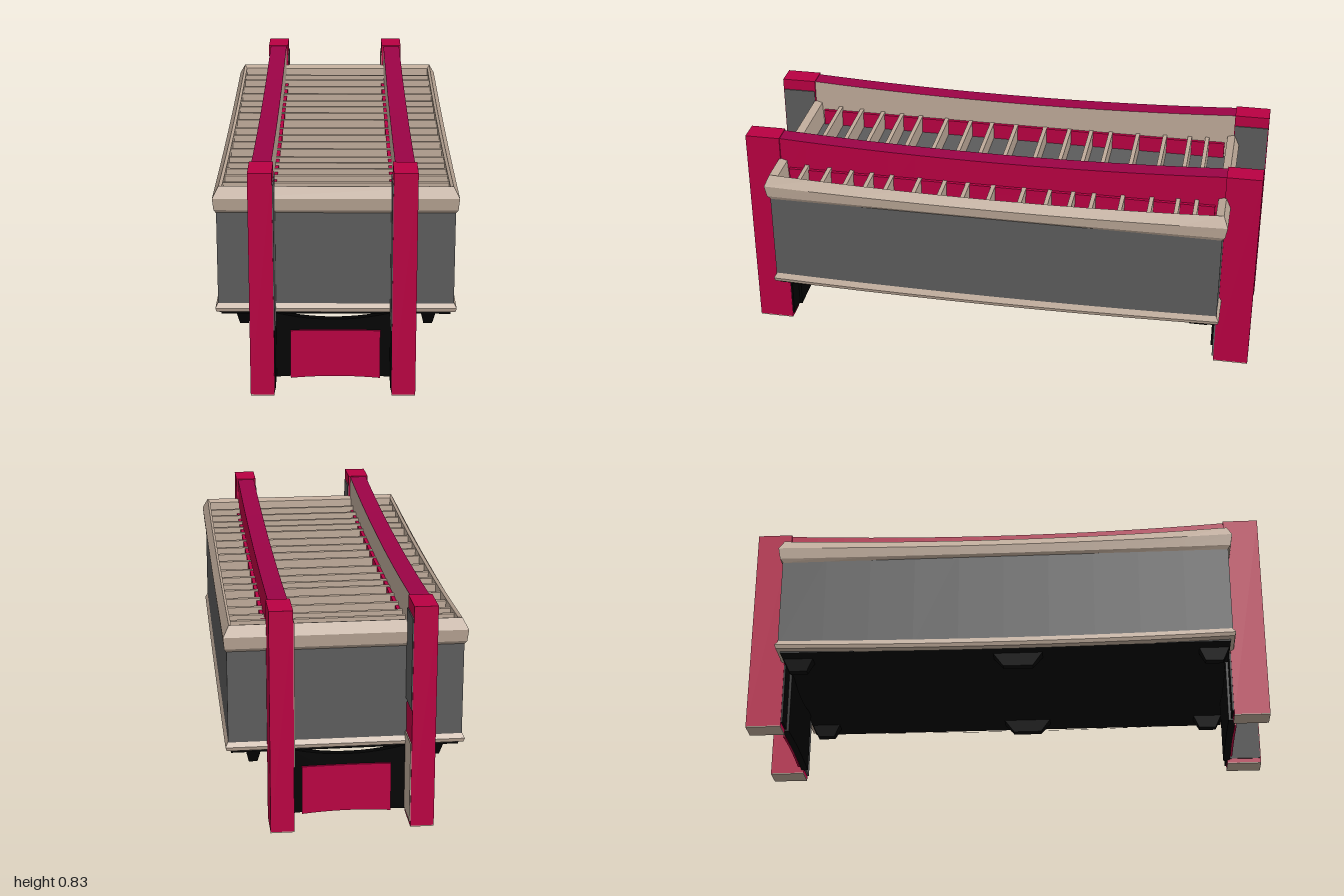
import * as THREE from 'three';

const mat = (name, color) => {
  const m = new THREE.MeshStandardMaterial({ color });
  m.name = name;
  return m;
};

export function createModel() {
  const crimson = mat('crimson', 0xb90042);
  const deepCrimson = mat('deepCrimson', 0x9c0346);
  const grey = mat('panelGrey', 0x5c5c5c);
  const taupe = mat('taupe', 0xbfab9a);
  const black = mat('black', 0x020202);
  const group = new THREE.Group();
  const HALF = 0.87;
  const sag = (z, depth) => -depth * Math.max(0, 1 - (z / HALF) ** 2);

  const add = (name, geo, material) => {
    const mesh = new THREE.Mesh(geo, material);
    mesh.name = name;
    group.add(mesh);
    return mesh;
  };
  // Box given by its extents on each axis
  const box = (name, m, x0, x1, y0, y1, z0, z1) => {
    const mesh = add(name, new THREE.BoxGeometry(x1 - x0, y1 - y0, z1 - z0), m);
    mesh.position.set((x0 + x1) / 2, (y0 + y1) / 2, (z0 + z1) / 2);
  };

  // Rectangular band swept through rings of [halfWidth, halfDepth, y, sagDepth]
  const band = (name, m, rings) => {
    const N = 10, pos = [];
    const loop = (hw, hd, y, s) => {
      const pts = [];
      for (const side of [1, -1]) {
        for (let i = 0; i <= N; i++) {
          const z = side * hd * (1 - (2 * i) / N);
          pts.push([side * hw, y + sag(z, s), z]);
        }
      }
      return pts;
    };
    for (let r = 0; r < rings.length - 1; r++) {
      const a = loop(...rings[r]), b = loop(...rings[r + 1]);
      a.forEach((p, i) => {
        const j = (i + 1) % a.length;
        pos.push(...p, ...a[j], ...b[j], ...p, ...b[j], ...b[i]);
      });
    }
    const geo = new THREE.BufferGeometry();
    geo.setAttribute('position', new THREE.Float32BufferAttribute(pos, 3));
    geo.computeVertexNormals();
    add(name, geo, m);
  };

  // Trough: walls, rolled upper rim, lower trim, floor and underside
  band('wallPanels', grey, [[0.424, 0.87, 0.28, 0.01], [0.424, 0.87, 0.67, 0]]);
  band('upperRim', taupe, [
    [0.424, 0.868, 0.645, 0], [0.432, 0.88, 0.66, 0.005], [0.436, 0.888, 0.705, 0.015],
    [0.414, 0.87, 0.746, 0.022], [0.404, 0.84, 0.738, 0.022], [0.402, 0.835, 0.635, 0],
  ]);
  band('lowerTrim', taupe, [
    [0.412, 0.858, 0.264, 0.012], [0.43, 0.876, 0.272, 0.014],
    [0.434, 0.88, 0.286, 0.014], [0.424, 0.868, 0.306, 0.012],
  ]);
  box('floor', grey, -0.41, 0.41, 0.6, 0.645, -0.85, 0.85);
  box('underside', black, -0.414, 0.414, 0.258, 0.275, -0.86, 0.86);

  // Thin upright slats across the trough
  const slats = [-0.76, -0.69, -0.59, -0.48, -0.37, -0.29, -0.2, -0.1, 0.02,
    0.12, 0.21, 0.31, 0.42, 0.5, 0.58, 0.67, 0.76];
  slats.forEach((z) => {
    box('slat', taupe, -0.405, 0.405, 0.64, 0.73 + sag(z, 0.02), z - 0.008, z + 0.008);
  });

  // Long rails with a slight dip, pale inner faces and a wider foot
  for (const x of [-0.262, 0.242]) {
    const geo = new THREE.BoxGeometry(0.07, 0.19, 2 * HALF, 1, 1, 16);
    const p = geo.attributes.position;
    for (let i = 0; i < p.count; i++) {
      if (p.getY(i) > 0) p.setY(i, p.getY(i) + sag(p.getZ(i), 0.025));
    }
    geo.computeVertexNormals();
    const sides = x < 0 ? [taupe, crimson] : [crimson, taupe];
    add('rail', geo, [...sides, deepCrimson, crimson, crimson, crimson])
      .position.set(x, 0.737, 0);
    box('railFoot', crimson, x - 0.048, x + 0.048, 0.64, 0.708, -0.83, 0.83);
  }

  // Shallow arched board for the end stretchers
  const board = (x0, x1, bottom, top, rise, dip, depth) => {
    const s = new THREE.Shape();
    const mid = (x0 + x1) / 2;
    s.moveTo(x0, bottom);
    s.quadraticCurveTo(mid, bottom + rise * 2, x1, bottom);
    s.lineTo(x1, top);
    s.quadraticCurveTo(mid, top - dip * 2, x0, top);
    return new THREE.ExtrudeGeometry(s, { depth, bevelEnabled: false, curveSegments: 10 });
  };

  // Linings [material, bottom, top] on the post faces turned to the middle
  const frontLinings = [[grey, 0.25, 0.79], [black, 0.02, 0.25]];
  const backLeftLinings = [[taupe, 0.25, 0.79]];
  const backRightLinings = [[grey, 0.45, 0.79], [taupe, 0.02, 0.32]];

  for (const end of [1, -1]) {
    const za = end > 0 ? 0.865 : -1, zb = za + 0.135;
    for (const [x0, x1, inner, dir] of [[-0.305, -0.22, -0.22, 1], [0.199, 0.284, 0.199, -1]]) {
      // Corner posts with capped feet
      box('post', crimson, x0, x1, 0.004, 0.835, za, zb);
      box('postFoot', taupe, x0, x1, 0, 0.004, za, zb);
      const edge = inner + dir * 0.004;
      const linings = end > 0 ? frontLinings : dir > 0 ? backRightLinings : backLeftLinings;
      for (const [m, y0, y1] of linings) {
        box('postLining', m, Math.min(inner, edge), Math.max(inner, edge), y0, y1,
          za + 0.003, zb - 0.003);
      }
      const zi = end * 0.862;
      box('postBacking', end < 0 && dir < 0 ? grey : black, x0 + 0.003, x1 - 0.003,
        0.02, 0.26, zi - 0.004, zi + 0.004);
    }
    // Stretcher: dark backing with a crimson face
    add('stretcherBacking', board(-0.222, 0.202, 0.015, 0.268, 0.008, 0.026, 0.026), black)
      .position.z = end > 0 ? 0.848 : -0.874;
    add('stretcherFace', board(-0.165, 0.16, 0.014, 0.2, 0.008, -0.002, 0.008), crimson)
      .position.z = end > 0 ? 0.874 : -0.882;
  }

  // Small tapered lugs below the corners and the middle
  for (const x of [-0.333, 0.333]) {
    for (const [z, length] of [[-0.8, 0.12], [0.05, 0.2], [0.8, 0.12]]) {
      const geo = new THREE.CylinderGeometry(Math.SQRT1_2, 0.4, 1, 4).rotateY(Math.PI / 4);
      const lug = add('lug', geo.toNonIndexed(), black);
      lug.geometry.computeVertexNormals();
      lug.scale.set(0.055, 0.055, length);
      lug.position.set(x, 0.2375, z);
    }
  }
  return group;
}
